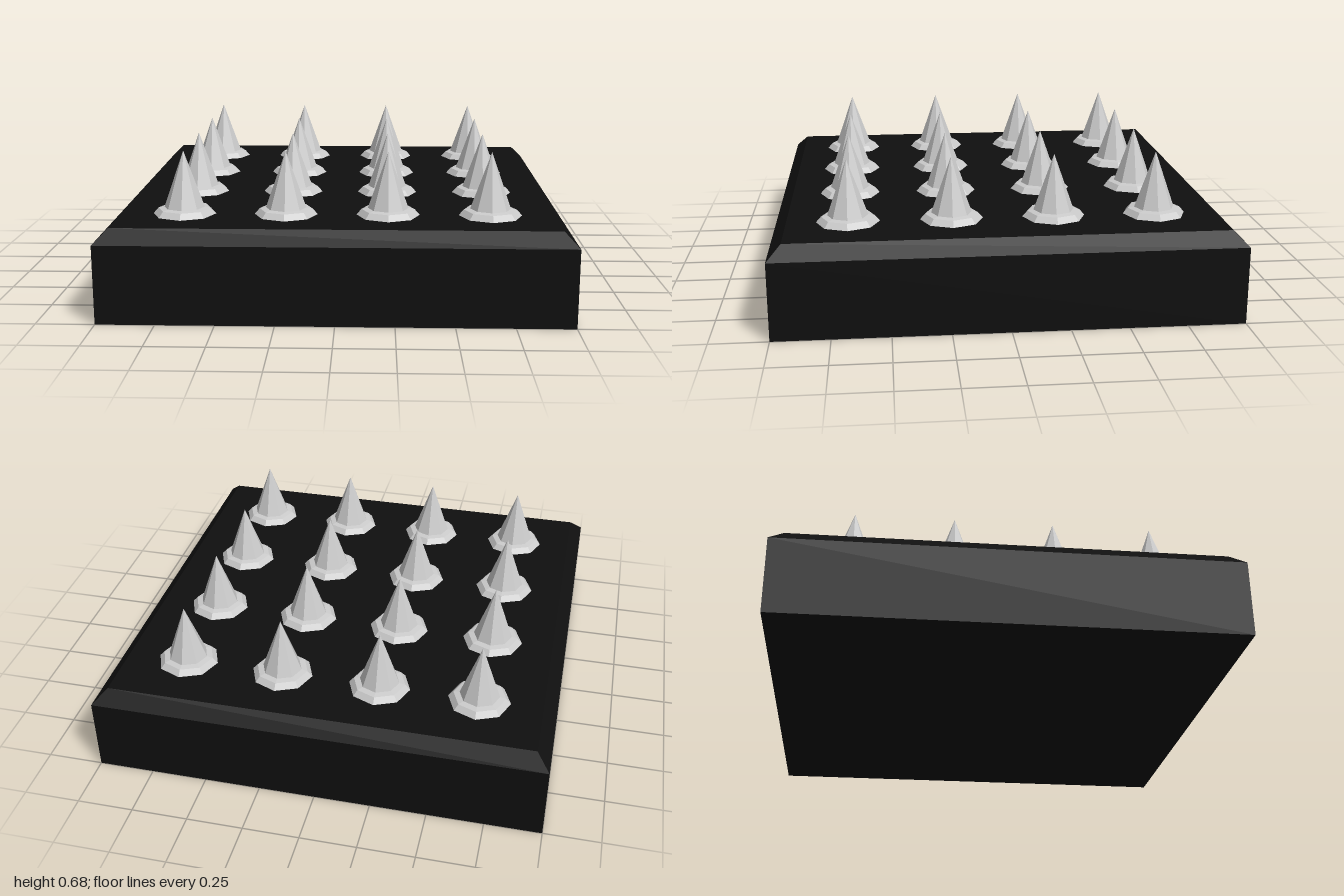
import * as THREE from 'three';

const profile = (pairs) => pairs.map(([r, y]) => new THREE.Vector2(r, y));

export function createModel() {
  const model = new THREE.Group();
  model.name = 'spikePlate';

  const black = new THREE.MeshStandardMaterial({ color: 0x0f0f0f, flatShading: true });
  const grey = new THREE.MeshStandardMaterial({ color: 0xcccccc, flatShading: true });

  // Square slab with a chamfered top edge: a four-sided lathe
  const d = Math.SQRT2;
  const slab = new THREE.Mesh(
    new THREE.LatheGeometry(
      profile([[0, 0], [d, 0], [d, 0.34], [0.94 * d, 0.4], [0, 0.4]]),
      4, Math.PI / 4
    ),
    black
  );
  slab.name = 'base';
  model.add(slab);

  // Octagonal spike and its sloped collar
  const collarGeometry = new THREE.LatheGeometry(
    profile([[0.137, 0], [0.115, 0.025], [0.088, 0.03]]), 8
  );
  const spikeGeometry = new THREE.LatheGeometry(
    profile([[0.088, 0.03], [0, 0.278]]), 8
  );

  // Four by four grid of spikes
  for (let row = 0; row < 4; row++) {
    for (let col = 0; col < 4; col++) {
      const stud = new THREE.Group();
      stud.name = `stud${row + 1}_${col + 1}`;
      const collar = new THREE.Mesh(collarGeometry, grey);
      collar.name = 'collar';
      const spike = new THREE.Mesh(spikeGeometry, grey);
      spike.name = 'spike';
      stud.add(collar, spike);
      stud.position.set((col - 1.5) * 0.442, 0.4, (row - 1.5) * 0.446 + 0.006);
      model.add(stud);
    }
  }
  return model;
}
